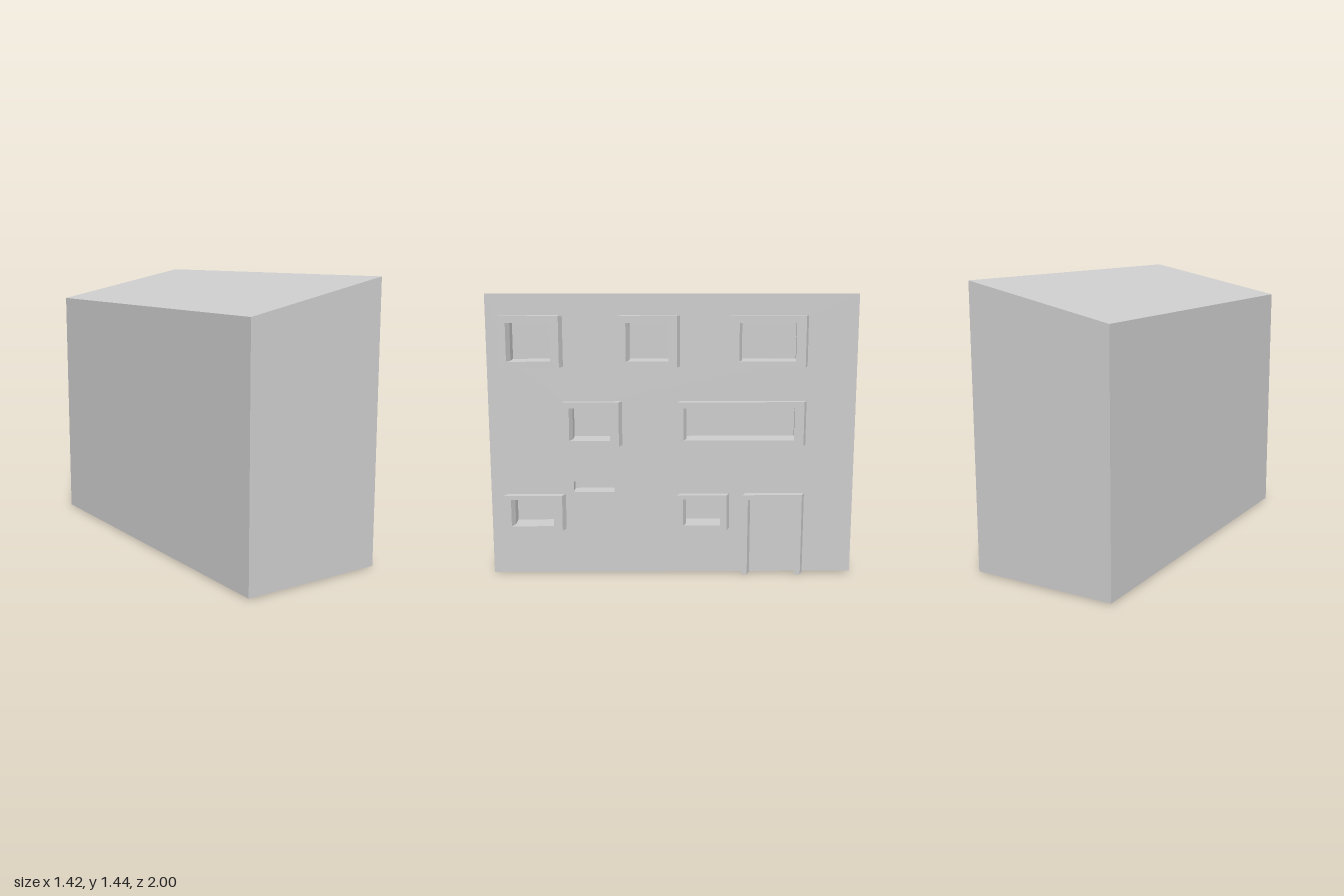
import * as THREE from 'three';

const material = new THREE.MeshStandardMaterial({ color: 0xcccccc, flatShading: true });

// The house stands turned on its plot; its facade runs from (0.695, 0.71) to (0, -1) in x, z
const NX = 0.926, NZ = -0.3765;             // outward direction of the facade
const DEPTH = 0.77, RECESS = 0.08, RELIEF = 0.042;
const BASE = 0.005, EAVE = 1.28, RIDGE = 1.44;
const SLOPE = (RIDGE - EAVE) / DEPTH;
const facadeX = (z) => 0.695 + (z - 0.71) * 0.4065;

// Openings and frames: [zLeft, zRight, yBottom, yTop]
const windows = [
  { outer: [0.635, 0.36, 1.08, 1.335], inner: [0.6, 0.4, 1.11, 1.3] },
  { outer: [0.09, -0.18, 1.08, 1.335], inner: [0.055, -0.14, 1.11, 1.3] },
  { outer: [-0.415, -0.77, 1.08, 1.335], inner: [-0.465, -0.725, 1.11, 1.3] },
  { outer: [0.355, 0.09, 0.68, 0.905], inner: [0.32, 0.13, 0.71, 0.875] },
  { outer: [-0.18, -0.77, 0.68, 0.905], inner: [-0.21, -0.725, 0.71, 0.875] },
  { outer: [0.635, 0.36, 0.24, 0.425], inner: [0.6, 0.4, 0.265, 0.405] },
  { outer: [-0.18, -0.415, 0.24, 0.425], inner: [-0.21, -0.385, 0.265, 0.405] },
];
const slot = [0.32, 0.13, 0.435, 0.49];

const polygon = (points) => new THREE.Shape(points.map(([x, y]) => new THREE.Vector2(x, y)));
const rectangle = ([z0, z1, y0, y1]) => polygon([[-z0, y0], [-z1, y0], [-z1, y1], [-z0, y1]]);

// Moves every vertex (along facade, height, depth) to its place in the house
function place(geometry, rule) {
  const p = geometry.attributes.position;
  for (let i = 0; i < p.count; i++) p.setXYZ(i, ...rule(p.getX(i), p.getY(i), p.getZ(i)));
  geometry.computeVertexNormals();
  return geometry;
}

// Walls run square to the facade and their top follows the roof slope
const wallRule = (s, y, t) => [facadeX(-s) + NX * t, y > 1.4 ? y + SLOPE * t : y, -s + NZ * t];
// Frames stand out from the facade along x
const frameRule = (s, y, t) => [facadeX(-s) + t, y, -s];

export function createModel() {
  const model = new THREE.Group();
  model.name = 'house';
  const add = (name, geometry) => {
    const mesh = new THREE.Mesh(geometry, material);
    mesh.name = name;
    model.add(mesh);
  };

  // Main block with a single-pitch roof, behind the facade
  const block = new THREE.BoxGeometry(1.71, RIDGE - BASE, DEPTH - RECESS);
  block.translate(0.145, (RIDGE + BASE) / 2, -(DEPTH + RECESS) / 2);
  add('mainBlock', place(block, wallRule));

  // Facade wall pierced by the window openings and the slot
  const wall = rectangle([0.71, -1, BASE, RIDGE]);
  wall.holes = [...windows.map((w) => w.inner), slot].map(rectangle);
  const facade = new THREE.ExtrudeGeometry(wall, { depth: RECESS, bevelEnabled: false });
  facade.translate(0, 0, -RECESS);
  add('facadeWall', place(facade, wallRule));

  // Raised window frames
  const relief = { depth: RELIEF, bevelEnabled: false };
  windows.forEach((w, i) => {
    const frame = rectangle(w.outer);
    frame.holes = [rectangle(w.inner)];
    add(`windowFrame${i + 1}`, place(new THREE.ExtrudeGeometry(frame, relief), frameRule));
  });

  // Door surround, open at the ground
  const surround = polygon([
    [0.49, 0], [0.515, 0], [0.515, 0.4], [0.74, 0.4],
    [0.74, 0], [0.77, 0], [0.77, 0.425], [0.49, 0.425],
  ]);
  add('doorFrame', place(new THREE.ExtrudeGeometry(surround, relief), frameRule));

  return model;
}
